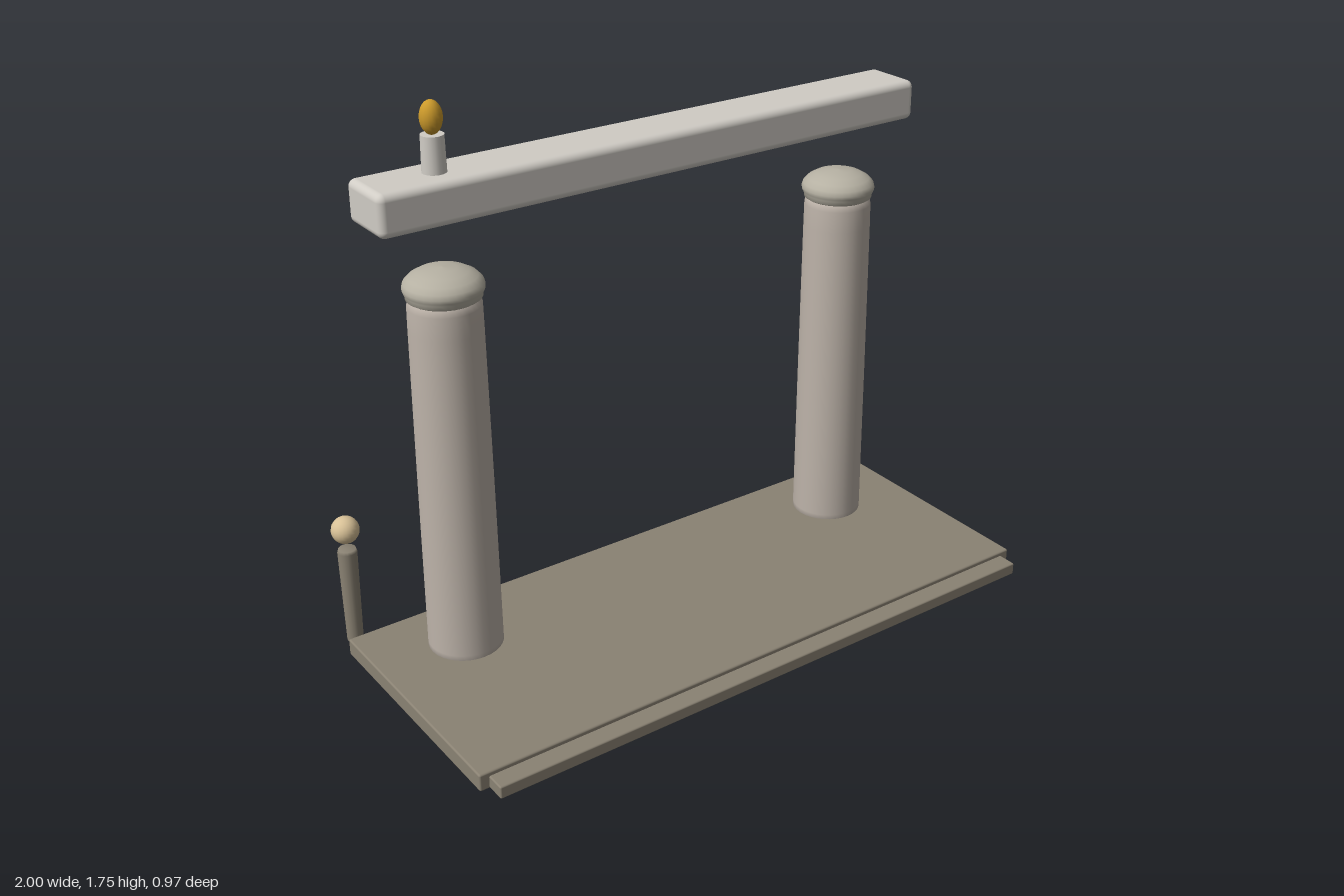
import * as THREE from 'three';
import { RoundedBoxGeometry } from 'three/addons/geometries/RoundedBoxGeometry.js';

const material = (color) => new THREE.MeshStandardMaterial({ color });
const lathe = (points, segments) =>
  new THREE.LatheGeometry(points.map(([r, y]) => new THREE.Vector2(r, y)), segments);

export function createModel() {
  const group = new THREE.Group();
  const slate = material(0x8a8273);
  const stone = material(0xbdb3a9);
  const capStone = material(0xb5b0a2);
  const pale = material(0xd0ccc5);
  const tan = material(0xd8c197);
  const gold = material(0xcc9a2b);
  const olive = new THREE.MeshStandardMaterial({ color: 0x857a58, side: THREE.DoubleSide });

  function add(name, geometry, mat, x, y, z) {
    const mesh = new THREE.Mesh(geometry, mat);
    mesh.name = name;
    mesh.position.set(x, y, z);
    group.add(mesh);
    return mesh;
  }

  // Floor slab with a slightly lower front step
  add('floorSlab', new RoundedBoxGeometry(2, 0.055, 0.8, 2, 0.006), slate, 0, 0.0365, 0.02);
  add('frontStep', new RoundedBoxGeometry(1.94, 0.04, 0.14, 2, 0.005), slate, 0, 0.03, 0.41);

  // Flat inlay under the slab
  const inlay = new THREE.Shape([[0.42, -0.19], [0.13, -0.18], [-0.48, 0.1], [-0.48, 0.24], [0.41, 0.28]]
    .map(([x, z]) => new THREE.Vector2(x, z)));
  add('undersideInlay', new THREE.ShapeGeometry(inlay), olive, 0, 0.006, 0).rotation.x = Math.PI / 2;

  // Tapered column with a rounded shoulder, and a domed cap with a rim
  const columnProfile = [[0, 0.03], [0.114, 0.03], [0.114, 0.08], [0.111, 0.6], [0.107, 1.1],
    [0.106, 1.17], [0.101, 1.19], [0.09, 1.2], [0, 1.2]];
  const capProfile = [[0, 1.19], [0.1, 1.19], [0.108, 1.195], [0.109, 1.207], [0.114, 1.215],
    [0.116, 1.226], [0.112, 1.24], [0.098, 1.255], [0.073, 1.269], [0.04, 1.278], [0, 1.281]];
  const postProfile = [[0, 0.008], [0.022, 0.008], [0.025, 0.014], [0.03, 0.325], [0.027, 0.335], [0, 0.335]];
  for (const [side, s] of [['left', 1], ['right', -1]]) {
    add(side + 'Column', lathe(columnProfile, 32), stone, s * 0.71, 0, -0.17);
    add(side + 'ColumnCap', lathe(capProfile, 32), capStone, s * 0.71, 0, -0.17);
    // Back posts with floating balls
    add(side + 'Post', lathe(postProfile, 16), slate, s * 0.95, 0, -0.443);
    add(side + 'PostBall', new THREE.SphereGeometry(0.043, 20, 14), tan, s * 0.95, 0.4, -0.443);
  }

  // Floating lintel beam
  add('lintel', new RoundedBoxGeometry(1.86, 0.125, 0.19, 4, 0.022), pale, 0, 1.4925, -0.17);

  // Candle with a stretched flame
  add('candle', new THREE.CylinderGeometry(0.033, 0.035, 0.11, 20), pale, -0.715, 1.605, -0.17);
  add('flame', new THREE.SphereGeometry(0.032, 16, 12), gold, -0.715, 1.706, -0.17).scale.y = 1.5;

  return group;
}
